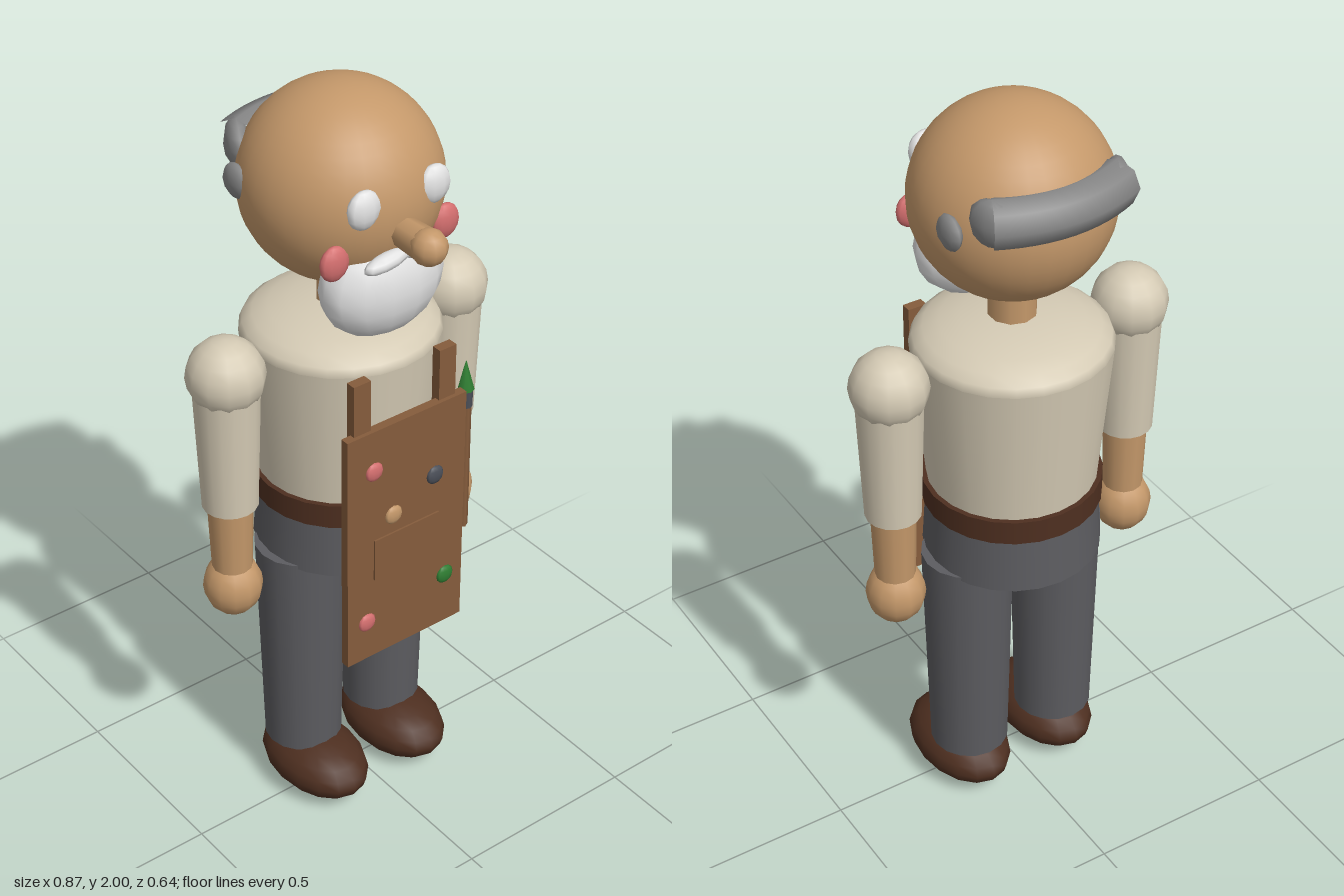
import * as THREE from 'three';

const mat = (name, color) => {
  const m = new THREE.MeshStandardMaterial({ color });
  m.name = name;
  return m;
};

export function createModel() {
  const model = new THREE.Group();
  model.name = 'craftsman';
  const skin = mat('skin', 0xc4986a);
  const shirt = mat('shirt cream', 0xd4cab4);
  const trouser = mat('trouser grey', 0x5c5c60);
  const canvas = mat('apron brown', 0x855c3c);
  const leather = mat('dark leather', 0x4e2f20);
  const white = mat('beard white', 0xe2e2e2);
  const grey = mat('hair grey', 0x868686);
  const pink = mat('rosy pink', 0xd46f6f);
  const green = mat('paint green', 0x2f7d32);
  const slate = mat('slate', 0x4b4f58);

  const add = (name, geometry, material, x, y, z) => {
    const mesh = new THREE.Mesh(geometry, material);
    mesh.name = name;
    mesh.position.set(x, y, z);
    model.add(mesh);
    return mesh;
  };
  // ellipsoid with radii rx, ry, rz
  const ball = (name, material, [x, y, z], [rx, ry, rz], w = 12, h = 8) => {
    const g = new THREE.SphereGeometry(1, w, h).scale(rx, ry, rz);
    return add(name, g, material, x, y, z);
  };
  // upright tapered cylinder between y0 and y1
  const post = (name, material, x, z, y0, y1, r0, r1, sides = 16) =>
    add(name, new THREE.CylinderGeometry(r1, r0, y1 - y0, sides), material, x, (y0 + y1) / 2, z);
  const box = (name, material, [x, y, z], [w, h, d]) =>
    add(name, new THREE.BoxGeometry(w, h, d), material, x, y, z);

  const Z = -0.05; // body axis

  // Head and neck
  ball('head', skin, [0, 1.756, Z], [0.245, 0.244, 0.245], 32, 24);
  post('neck', skin, 0, Z, 1.4, 1.56, 0.06, 0.06, 10);

  // Nose
  const bridge = add('noseBridge', new THREE.CylinderGeometry(0.042, 0.036, 0.13, 8), skin, 0, 1.72, 0.215);
  bridge.rotation.x = Math.PI / 2;
  ball('noseTip', skin, [0, 1.72, 0.275], [0.045, 0.045, 0.045], 10, 8);

  // Beard
  ball('beard', white, [0, 1.56, 0.105], [0.168, 0.14, 0.1], 14, 10);

  // Hair band around the back of the head
  const band = new THREE.QuadraticBezierCurve3(
    new THREE.Vector3(-0.165, 0, -0.225), new THREE.Vector3(0, 0, -0.305), new THREE.Vector3(0.165, 0, -0.225));
  add('hairBand', new THREE.TubeGeometry(band, 12, 0.06, 8), grey, 0, 1.825, 0);

  for (const s of [1, -1]) {
    // Face details
    ball('eye', white, [s * 0.1, 1.8, 0.167], [0.046, 0.049, 0.024], 10, 8);
    ball('cheek', pink, [s * 0.16, 1.67, 0.137], [0.04, 0.045, 0.02], 12, 8);
    const whisker = ball('moustache', white, [s * 0.05, 1.66, 0.188], [0.065, 0.021, 0.024], 10, 6);
    whisker.rotation.z = -s * 0.14;
    ball('sideTuft', grey, [s * 0.225, 1.78, -0.145], [0.022, 0.044, 0.046], 8, 6);
    const end = ball('hairEnd', grey, [s * 0.165, 1.825, -0.225], [0.032, 0.06, 0.06], 8, 6);
    end.rotation.y = s * 0.45;

    // Arms
    const x = s * 0.338;
    ball('shoulder', shirt, [x, 1.345, Z], [0.097, 0.097, 0.097], 12, 10);
    post('sleeve', shirt, x, Z, 0.975, 1.345, 0.07, 0.084);
    post('forearm', skin, x, Z, 0.73, 0.98, 0.049, 0.057, 12);
    ball('hand', skin, [x, 0.728, Z], [0.075, 0.084, 0.075], 12, 10);

    // Legs and shoes
    post('leg', trouser, s * 0.13, Z, 0.145, 0.77, 0.102, 0.117);
    ball('shoe', leather, [s * 0.13, 0.08, 0.002], [0.116, 0.08, 0.177], 16, 10);

    // Apron straps
    box('strap', canvas, [s * 0.128, 1.285, 0.187], [0.05, 0.16, 0.027]);
  }

  // Torso, belt and hips
  post('torso', shirt, 0, Z, 0.95, 1.36, 0.21, 0.247, 24);
  add('shoulderDome', new THREE.SphereGeometry(1, 24, 6, 0, Math.PI * 2, 0, Math.PI / 2)
    .scale(0.247, 0.08, 0.247), shirt, 0, 1.36, Z);
  post('belt', leather, 0, Z, 0.91, 0.975, 0.225, 0.225, 24);
  post('hips', trouser, 0, Z, 0.76, 0.915, 0.224, 0.214, 24);

  // Apron with pocket
  box('apron', canvas, [0, 0.885, 0.199], [0.36, 0.68, 0.024]);
  box('pocket', canvas, [0, 0.845, 0.211], [0.2, 0.12, 0.01]);

  // Paint spots on the apron
  for (const [x, y, m] of [[-0.1, 1.11, pink], [0.087, 1.02, slate], [-0.04, 0.957, skin],
    [-0.12, 0.66, pink], [0.126, 0.695, green]]) {
    ball('paintSpot', m, [x, y, 0.211], [0.026, 0.026, 0.01], 10, 6);
  }

  // Paintbrush
  post('brushHandle', canvas, 0.336, 0.025, 0.645, 1.02, 0.018, 0.018, 6);
  post('brushFerrule', slate, 0.336, 0.025, 1.02, 1.075, 0.02, 0.02, 8);
  post('brushTip', green, 0.336, 0.025, 1.07, 1.16, 0.024, 0, 8);

  return model;
}
